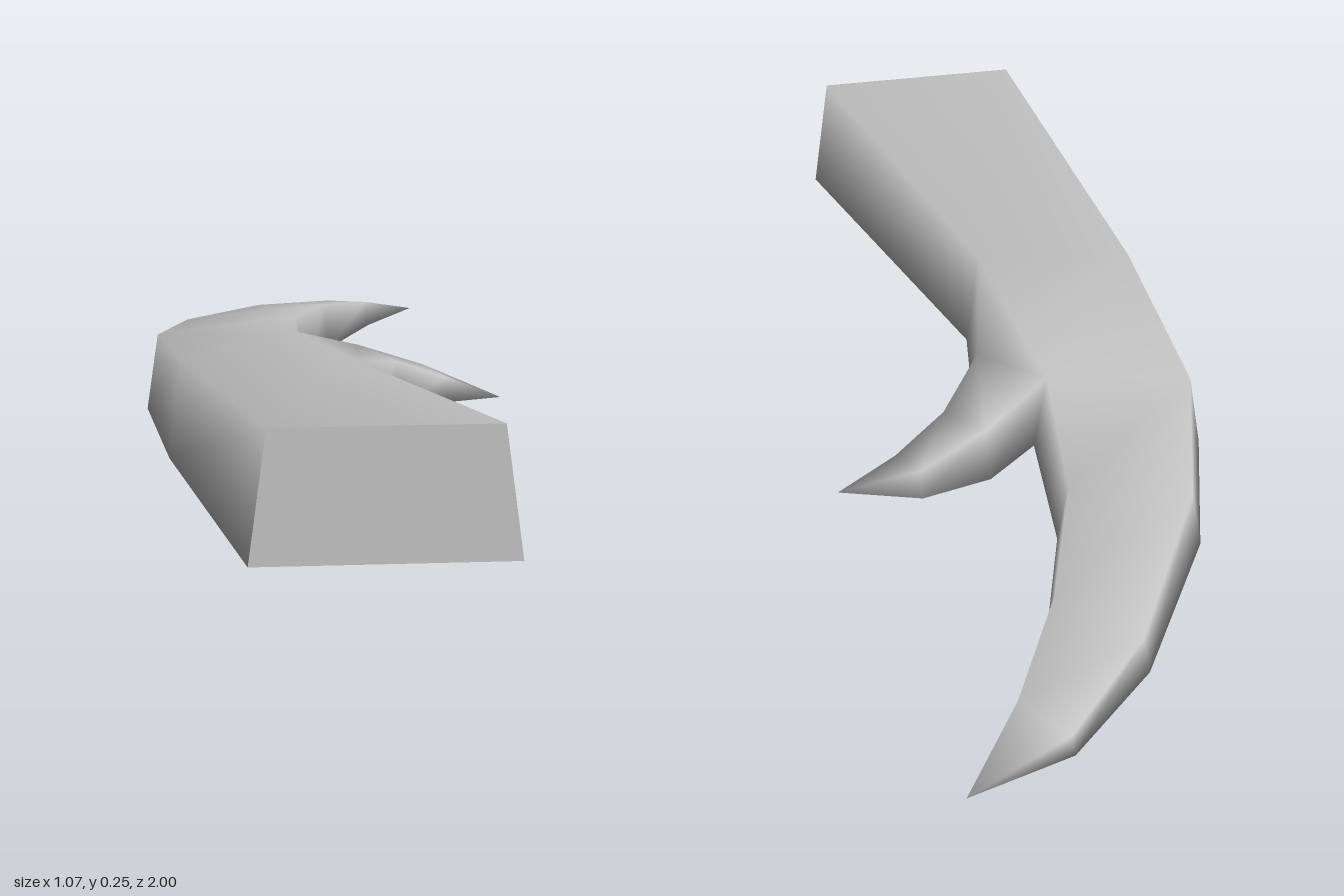
import * as THREE from 'three';

// Footprint points: [x, z, height of the top above it, partner the top edge leans towards]
const POINTS = {
  L1: [-0.535, 0.86, 0.25, 'R1'], R1: [-0.07, 1.0, 0.25, 'L1'],
  L2: [-0.44, 0.12, 0.2, 'R2'], R2: [-0.095, 0.26, 0.21, 'L2'],
  L3: [-0.36, -0.28, 0.16, 'R3'], R3: [-0.05, -0.14, 0.17, 'L3'],
  L4: [-0.195, -0.57, 0.12, 'R4'], R4: [0.05, -0.43, 0.135, 'L4'],
  L5: [0.08, -0.855, 0.075, 'R5'], R5: [0.2, -0.67, 0.1, 'L5'],
  L6: [0.31, -0.99, 0.04, 'R6'], R6: [0.37, -0.86, 0.055, 'L6'],
  tip: [0.535, -1.0, 0, 'tip'],
  // side prong
  A1: [0.0, 0.04, 0.14, 'R3'],
  A2: [0.13, -0.07, 0.105, 'B2'], B2: [0.08, -0.2, 0.12, 'A2'],
  A3: [0.25, -0.1, 0.055, 'B3'], B3: [0.23, -0.195, 0.065, 'A3'],
  prongTip: [0.375, -0.1, 0, 'prongTip'],
};
const LEAN = 0.07;

// Patches of the upper and lower skins, counter-clockwise from above
const PATCHES = [
  'L1 R1 R2 L2', 'L2 R2 R3 L3', 'L3 R3 R4 L4', 'L4 R4 R5 L5', 'L5 R5 R6 L6', 'L6 R6 tip',
  'R2 A1 R3', 'A1 A2 B2 R3', 'A2 A3 B3 B2', 'A3 prongTip B3',
].map((s) => s.split(' '));

// Rim walked from the right of the cut end round to its left
const RIM = 'R1 R2 A1 A2 A3 prongTip B3 B2 R3 R4 R5 R6 tip L6 L5 L4 L3 L2 L1'.split(' ');

const bottom = (n) => [POINTS[n][0], 0, POINTS[n][1]];
function top(n) {
  const [x, z, h, mate] = POINTS[n];
  const [mx, mz] = POINTS[mate];
  return [x + (mx - x) * LEAN, h, z + (mz - z) * LEAN];
}

function toGeometry(positions, index) {
  const g = new THREE.BufferGeometry();
  g.setAttribute('position', new THREE.Float32BufferAttribute(positions, 3));
  g.setIndex(index);
  g.computeVertexNormals();
  return g;
}

// Smooth skin with shared vertices: top, underside and walls
function skinGeometry() {
  const names = Object.keys(POINTS);
  const positions = [];
  const low = {}, high = {};
  for (const n of names) {
    low[n] = positions.length / 3;
    positions.push(...bottom(n));
    high[n] = low[n];
    if (POINTS[n][2] > 0) {
      high[n] = positions.length / 3;
      positions.push(...top(n));
    }
  }
  const index = [];
  const face = (ids) => {
    const ring = ids.filter((v, i) => ids.indexOf(v) === i);
    for (let i = 1; i < ring.length - 1; i++) index.push(ring[0], ring[i], ring[i + 1]);
  };
  for (const p of PATCHES) {
    face(p.map((n) => high[n]));
    face(p.map((n) => low[n]).reverse());
  }
  for (let i = 0; i < RIM.length - 1; i++) {
    const a = RIM[i], b = RIM[i + 1];
    face([low[a], low[b], high[b], high[a]]);
  }
  return toGeometry(positions, index);
}

export function createModel() {
  const group = new THREE.Group();
  group.name = 'antler';
  const grey = new THREE.MeshStandardMaterial({ color: 0xc4c4c4 });
  grey.name = 'grey';

  const skin = new THREE.Mesh(skinGeometry(), grey);
  skin.name = 'antlerSkin';

  // Flat cut end
  const capPoints = [bottom('L1'), bottom('R1'), top('R1'), top('L1')].flat();
  const cap = new THREE.Mesh(toGeometry(capPoints, [0, 1, 2, 0, 2, 3]), grey);
  cap.name = 'cutEnd';

  group.add(skin, cap);
  return group;
}
